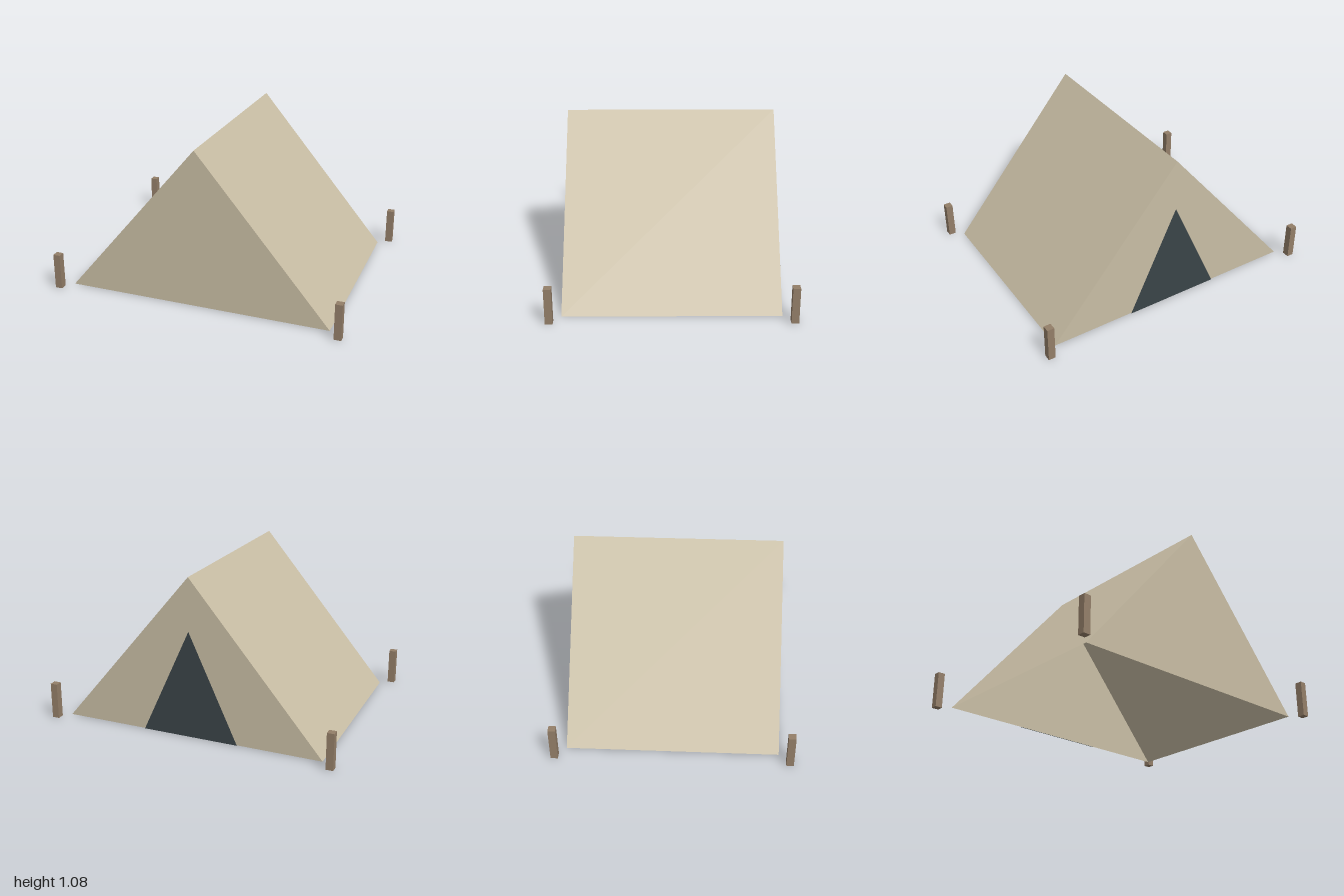
import * as THREE from 'three';

const W = 0.904, H = 1.08, D = 0.698; // half width, height, half depth

function mat(name, color, extra = {}) {
  const m = new THREE.MeshStandardMaterial({ color, ...extra });
  m.name = name;
  return m;
}

export function createModel() {
  const group = new THREE.Group();
  const canvas = mat('canvas', 0xc8bda4, { side: THREE.DoubleSide });
  const opening = mat('dark opening', 0x3a4448, { side: THREE.DoubleSide });
  const wood = mat('wood', 0x937e68);

  const add = (name, geometry, material, x = 0, y = 0, z = 0) => {
    const mesh = new THREE.Mesh(geometry, material);
    mesh.name = name;
    mesh.position.set(x, y, z);
    group.add(mesh);
    return mesh;
  };

  // upright triangle standing on y = 0, facing +z
  const triangle = (halfWidth, height) => new THREE.ShapeGeometry(new THREE.Shape([
    new THREE.Vector2(-halfWidth, 0),
    new THREE.Vector2(halfWidth, 0),
    new THREE.Vector2(0, height),
  ]));

  // end walls
  add('frontWall', triangle(W, H), canvas, 0, 0, D);
  add('backWall', triangle(W, H), canvas, 0, 0, -D).rotation.y = Math.PI;

  // sloping roof sheets, open underneath
  for (const s of [1, -1]) {
    const sheet = new THREE.PlaneGeometry(2 * D, Math.hypot(W, H));
    sheet.rotateX(-Math.atan2(W, H));
    sheet.rotateY(s * Math.PI / 2);
    add(s > 0 ? 'leftRoof' : 'rightRoof', sheet, canvas, s * W / 2, H / 2, 0);
  }

  // doorway on the back wall
  add('doorway', triangle(0.332, 0.725), opening, 0, 0, -D - 0.006).rotation.y = Math.PI;

  // four corner stakes
  const stake = new THREE.BoxGeometry(0.048, 0.245, 0.048);
  for (const x of [-1, 1]) for (const z of [-1, 1]) {
    add('stake', stake, wood, x * 0.976, 0.1225, z * 0.767);
  }
  return group;
}
